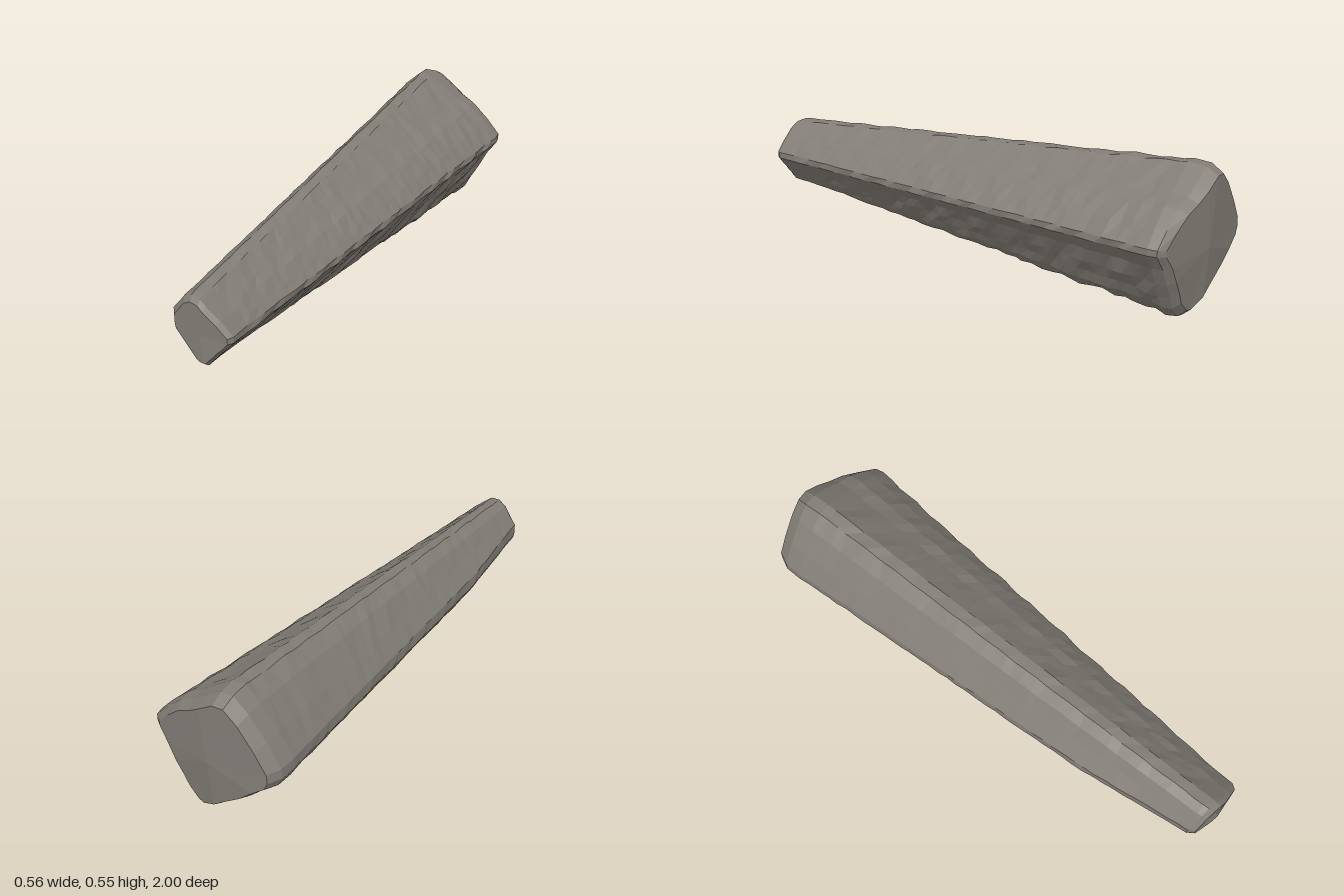
import * as THREE from 'three';

// Matching outlines (x, y) of the narrow front end and the wide back end, clockwise from the top
const FRONT = [
  [-0.16, 0.42], [-0.12, 0.415], [-0.095, 0.395], [-0.065, 0.37], [-0.04, 0.35], [-0.01, 0.32],
  [0.01, 0.3], [0.01, 0.275], [-0.015, 0.245], [-0.04, 0.22], [-0.06, 0.195], [-0.08, 0.175],
  [-0.095, 0.155], [-0.125, 0.155], [-0.145, 0.165], [-0.16, 0.18], [-0.18, 0.2], [-0.2, 0.22],
  [-0.22, 0.24], [-0.245, 0.265], [-0.25, 0.285], [-0.25, 0.33], [-0.225, 0.36], [-0.195, 0.4],
];
const BACK = [
  [-0.09, 0.55], [-0.04, 0.55], [0.03, 0.505], [0.09, 0.465], [0.15, 0.435], [0.22, 0.375],
  [0.277, 0.315], [0.277, 0.29], [0.235, 0.23], [0.2, 0.16], [0.165, 0.1], [0.14, 0.05],
  [0.095, 0.005], [0.065, 0], [0, 0.035], [-0.04, 0.065], [-0.09, 0.1], [-0.14, 0.135],
  [-0.2, 0.19], [-0.26, 0.235], [-0.278, 0.27], [-0.275, 0.31], [-0.22, 0.4], [-0.15, 0.495],
];
const N = FRONT.length, ROWS = 40, STEPS = 11;

function seeded(seed) {
  return () => {
    seed = (seed * 16807) % 2147483647;
    return seed / 2147483647;
  };
}

const centre = (outline) => outline.reduce((c, p) => [c[0] + p[0] / N, c[1] + p[1] / N], [0, 0]);

// Shrinks an outline towards its centre and places it at a depth given by a rule
function capRing(outline, scale, depth) {
  const [cx, cy] = centre(outline);
  return outline.map(([px, py]) => {
    const x = cx + (px - cx) * scale, y = cy + (py - cy) * scale;
    return [x, y, depth(x, y)];
  });
}

function beamGeometry() {
  const random = seeded(71);
  const frontZ = (x) => 1 + Math.min(0, (x + 0.1) * 0.25);
  const backZ = (x, y) => -1 + 0.25 * Math.max(0, x) + 0.15 * Math.max(0, 0.2 - y);
  const rings = [];

  // Worn front end
  rings.push(capRing(FRONT, 0.86, frontZ));
  rings.push(capRing(FRONT, 0.97, (x) => frontZ(x) - 0.02));

  // Tapering body with irregular hewn steps
  const mid = [centre(FRONT), centre(BACK)];
  const phase = FRONT.map((_, i) => Math.sin(i * 1.9) * 0.25);
  for (let r = 0; r <= ROWS; r++) {
    const t = r / ROWS, z = 0.94 - 1.82 * t;
    const ends = r === 0 || r === ROWS;
    rings.push(FRONT.map((f, i) => {
      const b = BACK[i];
      const leftEdge = i >= 19 && i <= 21;
      let u = leftEdge ? Math.min(1, t * 4) : t;
      if (!ends && !leftEdge) u -= 0.8 * Math.sin(2 * Math.PI * (STEPS * t + phase[i])) / (2 * Math.PI * STEPS);
      u = THREE.MathUtils.clamp(u, 0, 1);
      // The lower right side is rougher than the others
      const rough = ends ? 0 : i >= 8 && i <= 17 ? 0.05 : 0.02;
      const k = 1 - rough * random();
      const cx = THREE.MathUtils.lerp(mid[0][0], mid[1][0], t);
      const cy = THREE.MathUtils.lerp(mid[0][1], mid[1][1], t);
      const x = THREE.MathUtils.lerp(f[0], b[0], u), y = THREE.MathUtils.lerp(f[1], b[1], u);
      return [cx + (x - cx) * k, cy + (y - cy) * k, z + (ends ? 0 : (random() - 0.5) * 0.02)];
    }));
  }

  // Slanted back end
  rings.push(capRing(BACK, 0.98, (x, y) => (backZ(x, y) - 0.9) / 2));
  rings.push(capRing(BACK, 0.88, backZ));

  const positions = rings.flat(2);
  const index = [];
  for (let r = 0; r < rings.length - 1; r++) {
    for (let i = 0; i < N; i++) {
      const j = (i + 1) % N, a = r * N + i, b = r * N + j;
      index.push(a, b, a + N, b, b + N, a + N);
    }
  }
  // Close both ends with fans
  const first = rings.length * N, last = (rings.length - 1) * N;
  positions.push(...mid[0], frontZ(mid[0][0]), ...mid[1], backZ(...mid[1]));
  for (let i = 0; i < N; i++) {
    const j = (i + 1) % N;
    index.push(first, j, i, first + 1, last + i, last + j);
  }

  const indexed = new THREE.BufferGeometry();
  indexed.setAttribute('position', new THREE.Float32BufferAttribute(positions, 3));
  indexed.setIndex(index);
  const geometry = indexed.toNonIndexed();
  geometry.computeVertexNormals();
  return geometry;
}

export function createModel() {
  const group = new THREE.Group();
  group.name = 'taperedBeam';
  const weatheredGrey = new THREE.MeshStandardMaterial({ color: 0x827d76, flatShading: true });
  weatheredGrey.name = 'weatheredGrey';
  const beam = new THREE.Mesh(beamGeometry(), weatheredGrey);
  beam.name = 'beam';
  group.add(beam);
  return group;
}
